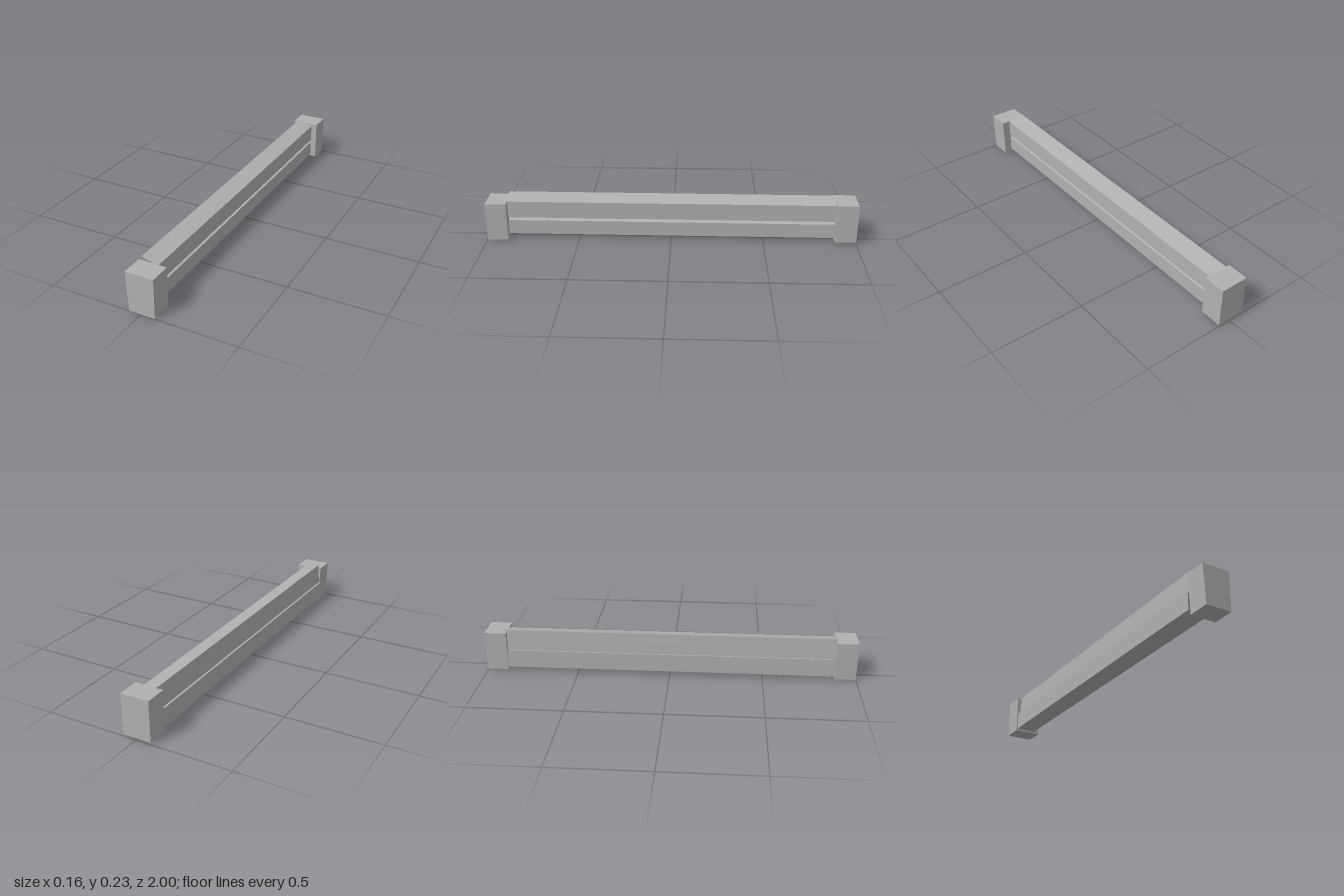
import * as THREE from 'three';

// Four-sided prism along z; section corners run counter-clockwise seen from +z
function prism(section, z0, z1, capped) {
  const pos = [];
  const tri = (...corners) => corners.forEach(([p, z]) => pos.push(p[0], p[1], z));
  section.forEach((a, i) => {
    const b = section[(i + 1) % section.length];
    tri([a, z1], [a, z0], [b, z0]);
    tri([a, z1], [b, z0], [b, z1]);
  });
  if (capped) {
    const [a, b, c, d] = section;
    tri([a, z1], [b, z1], [c, z1]);
    tri([a, z1], [c, z1], [d, z1]);
    tri([a, z0], [c, z0], [b, z0]);
    tri([a, z0], [d, z0], [c, z0]);
  }
  const geo = new THREE.BufferGeometry();
  geo.setAttribute('position', new THREE.Float32BufferAttribute(pos, 3));
  geo.computeVertexNormals();
  return geo;
}

export function createModel() {
  const group = new THREE.Group();
  const grey = new THREE.MeshStandardMaterial({ color: 0xb0b0b0, flatShading: true });
  grey.name = 'grey';

  const add = (name, section, z0, z1, capped) => {
    const mesh = new THREE.Mesh(prism(section, z0, z1, capped), grey);
    mesh.name = name;
    group.add(mesh);
  };

  // End posts: the front one tapers towards its foot
  add('frontPost', [[-0.063, 0], [0.076, 0], [0.08, 0.212], [-0.07, 0.212]], 0.886, 1, true);
  add('backPost', [[-0.082, 0.01], [0.068, 0.01], [0.068, 0.223], [-0.082, 0.223]], -1, -0.884, true);

  // Rails with sloping tops, open where they meet the posts
  add('lowerRail', [[-0.075, 0.023], [0.035, 0.02], [0.035, 0.1], [-0.075, 0.121]], -0.89, 0.888, false);
  add('upperRail', [[-0.063, 0.119], [0.035, 0.117], [0.035, 0.21], [-0.055, 0.232]], -0.895, 0.888, false);

  return group;
}
